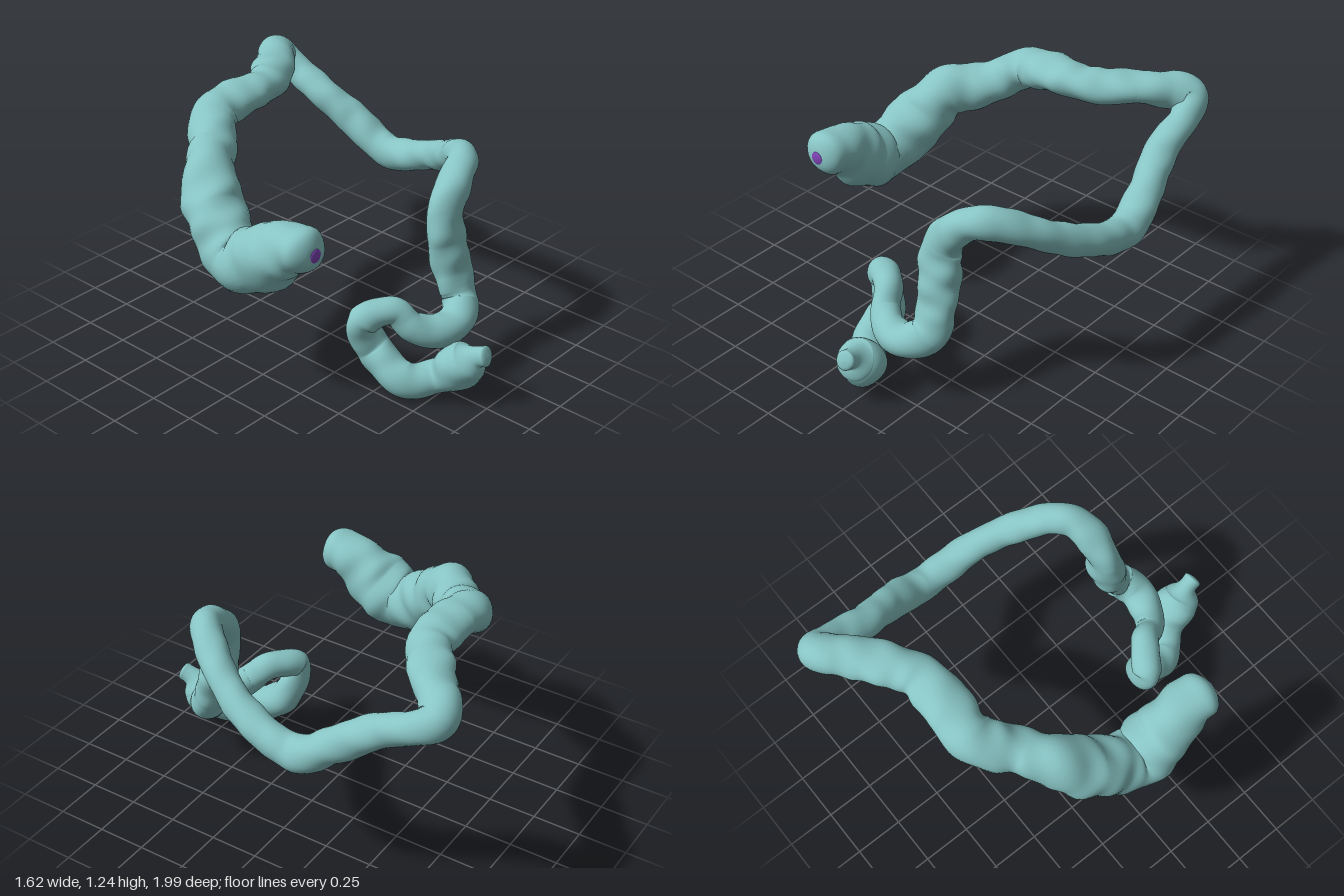
import * as THREE from 'three';

// Centreline stations: x, y, z, radius
const STATIONS = [
  // blunt closed pouch and wide ascending part
  [-0.63, 0.90, 0.48, 0.115], [-0.63, 0.89, 0.34, 0.122], [-0.64, 0.765, 0.14, 0.162],
  [-0.64, 0.71, 0, 0.148], [-0.57, 0.86, -0.22, 0.148], [-0.49, 0.98, -0.34, 0.13],
  // transverse part
  [-0.34, 1.025, -0.46, 0.112], [-0.19, 1.11, -0.6, 0.122], [0, 1.15, -0.6, 0.118],
  [0.2, 1.145, -0.62, 0.11], [0.4, 1.15, -0.75, 0.105], [0.6, 1.105, -0.9, 0.095],
  // descending part
  [0.635, 1.04, -0.82, 0.078], [0.64, 0.95, -0.63, 0.082], [0.69, 0.82, -0.43, 0.088],
  [0.715, 0.705, -0.23, 0.088], [0.67, 0.81, 0.12, 0.077],
  [0.46, 0.98, 0.45, 0.08], [0.34, 0.945, 0.51, 0.083], [0.235, 0.81, 0.53, 0.1],
  [0.23, 0.65, 0.55, 0.114], [0.24, 0.48, 0.59, 0.106], [0.235, 0.36, 0.64, 0.095],
  [0.15, 0.3, 0.69, 0.09],
  // looped part
  [0.02, 0.285, 0.67, 0.084], [-0.08, 0.325, 0.6, 0.074], [-0.13, 0.405, 0.52, 0.07],
  [-0.26, 0.365, 0.43, 0.078], [-0.2, 0.21, 0.455, 0.09], [-0.18, 0.088, 0.63, 0.088],
  [-0.07, 0.1, 0.74, 0.085], [-0.02, 0.18, 0.84, 0.118], [-0.01, 0.22, 0.89, 0.1],
  // narrow outlet
  [0, 0.26, 0.93, 0.052], [0.01, 0.285, 0.99, 0.052],
];

// One continuous tube swept along the stations with rounded ends and gentle pouches
function sweep(stations, rings, sides) {
  const path = new THREE.CatmullRomCurve3(stations.map(s => new THREE.Vector3(s[0], s[1], s[2])));
  const size = new THREE.CatmullRomCurve3(
    stations.map((s, i) => new THREE.Vector3(s[3], i, 0)), false, 'catmullrom', 0.5);
  const { smoothstep } = THREE.MathUtils;
  const centres = [], along = [0];
  for (let i = 0; i <= rings; i++) {
    centres.push(path.getPoint(i / rings));
    if (i) along.push(along[i - 1] + centres[i].distanceTo(centres[i - 1]));
  }
  const total = along[rings];
  const positions = [], index = [];
  const normal = new THREE.Vector3(1, 0, 0), binormal = new THREE.Vector3();
  const offset = new THREE.Vector3();

  for (let i = 0; i <= rings; i++) {
    const t = i / rings, centre = centres[i];
    const tangent = path.getTangent(t);
    // carry the frame along without twisting
    normal.addScaledVector(tangent, -normal.dot(tangent)).normalize();
    binormal.crossVectors(tangent, normal);
    const radius = size.getPoint(t).x;
    // the high transverse part is flattened in height, upright runs in depth
    const squash = 1 - 0.25 * smoothstep(centre.y, 1.0, 1.14) * smoothstep(centre.z, -0.92, -0.75);
    const depth = 1 - 0.25 * smoothstep(Math.abs(tangent.y), 0.7, 0.95);
    const d = along[i];
    const capLength = Math.min(d / (radius * 0.8), (total - d) / (radius * 0.4), 1);
    const cap = Math.sqrt(Math.max(0, 1 - (1 - capLength) ** 2));
    const rough = radius > 0.1 ? 1 : 0.7;
    for (let j = 0; j < sides; j++) {
      const a = (j / sides) * Math.PI * 2;
      const pouch = 1 + rough * (0.025 * Math.sin(d * 45 + 1.2 * Math.sin(a + d * 5))
        + 0.04 * Math.sin(2 * a + d * 17) + 0.03 * Math.sin(3 * a - d * 29));
      offset.set(0, 0, 0).addScaledVector(normal, Math.cos(a)).addScaledVector(binormal, Math.sin(a));
      offset.multiplyScalar(radius * cap * pouch);
      offset.y *= squash;
      offset.z *= depth;
      offset.add(centre);
      positions.push(offset.x, offset.y, offset.z);
      if (i < rings) {
        const k = (j + 1) % sides, p = i * sides, q = p + sides;
        index.push(p + j, p + k, q + j, p + k, q + k, q + j);
      }
    }
  }
  const geometry = new THREE.BufferGeometry();
  geometry.setAttribute('position', new THREE.Float32BufferAttribute(positions, 3));
  geometry.setIndex(index);
  geometry.computeVertexNormals();
  return geometry;
}

export function createModel() {
  const group = new THREE.Group();
  group.name = 'largeIntestine';

  const tube = new THREE.Mesh(sweep(STATIONS, 680, 32),
    new THREE.MeshStandardMaterial({ color: 0x88c4c4 }));
  tube.name = 'colonTube';
  group.add(tube);

  // small coloured opening on the closed end
  const spot = new THREE.Mesh(new THREE.SphereGeometry(0.035, 24, 16),
    new THREE.MeshStandardMaterial({ color: 0x8044b8 }));
  spot.name = 'appendixOpening';
  spot.scale.z = 0.3;
  spot.position.set(-0.63, 0.9, 0.472);
  group.add(spot);

  return group;
}
